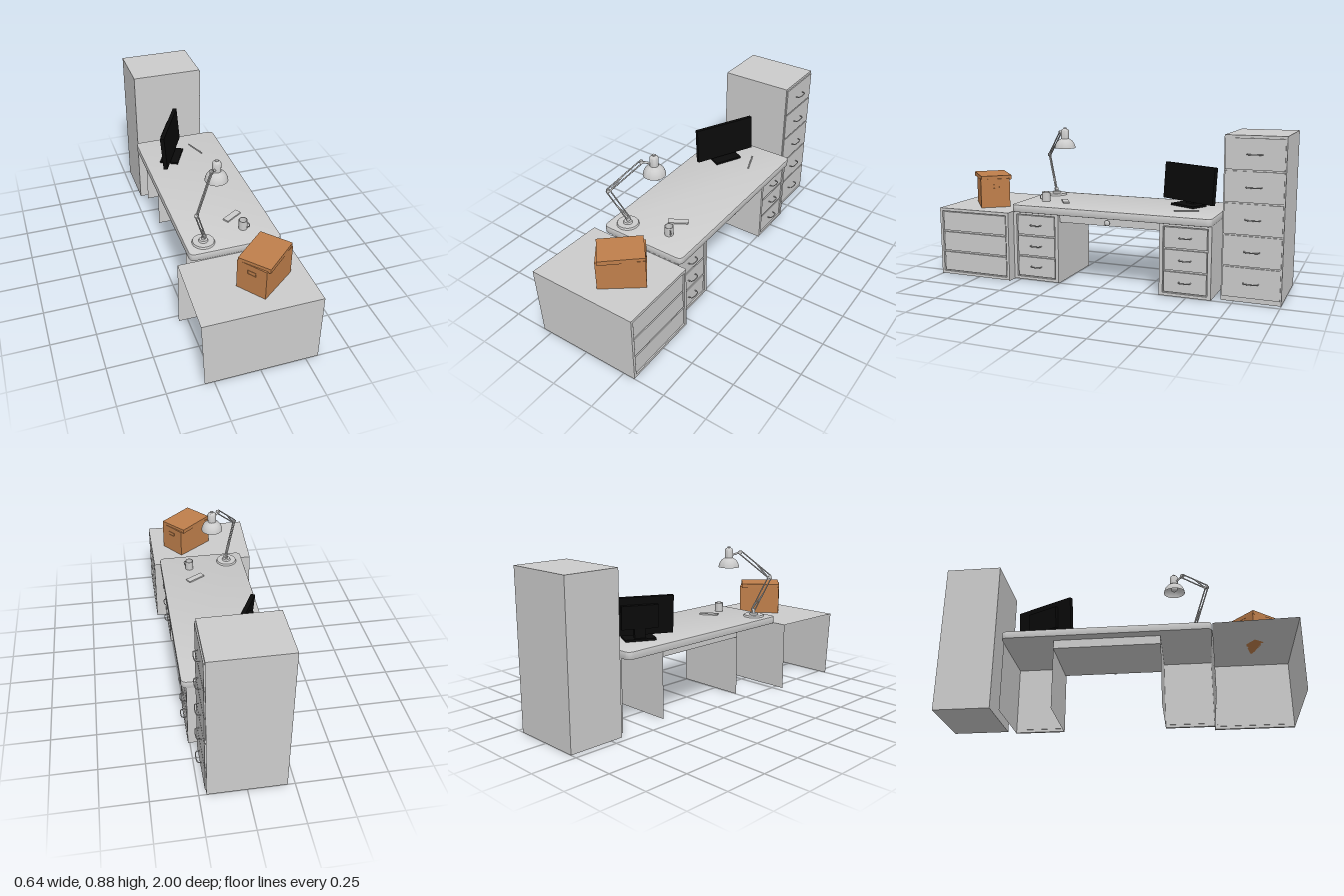
import * as THREE from 'three';
import { toCreasedNormals } from 'three/addons/utils/BufferGeometryUtils.js';

const mat = (name, color, side = THREE.FrontSide) => {
  const m = new THREE.MeshStandardMaterial({ color, side });
  m.name = name;
  return m;
};
const V = (x, y, z) => new THREE.Vector3(x, y, z);

export function createModel() {
  const model = new THREE.Group();
  const grey = mat('light grey', 0xcccccc, THREE.DoubleSide);
  const black = mat('black', 0x0a0a0a);
  const cardboard = mat('cardboard', 0xbf7f4b);

  const group = (name, parent = model) => {
    const g = new THREE.Group();
    g.name = name;
    parent.add(g);
    return g;
  };
  const add = (parent, name, geometry, material = grey) => {
    const m = new THREE.Mesh(geometry, material);
    m.name = name;
    parent.add(m);
    return m;
  };
  // Box given by its extents on each axis
  const box = (parent, name, x0, x1, y0, y1, z0, z1, material) => {
    const m = add(parent, name, new THREE.BoxGeometry(x1 - x0, y1 - y0, z1 - z0), material);
    m.position.set((x0 + x1) / 2, (y0 + y1) / 2, (z0 + z1) / 2);
    return m;
  };
  // Single sheet through four corners
  const sheet = (parent, name, ...corners) => {
    const g = new THREE.BufferGeometry().setFromPoints(corners);
    g.setIndex([0, 1, 2, 0, 2, 3]);
    g.computeVertexNormals();
    return add(parent, name, g);
  };
  // Straight round bar between two points
  const rod = (parent, name, a, b, r, sides = 10) => {
    const m = add(parent, name, new THREE.CylinderGeometry(r, r, a.distanceTo(b), sides));
    m.position.copy(a).add(b).multiplyScalar(0.5);
    m.quaternion.setFromUnitVectors(V(0, 1, 0), b.clone().sub(a).normalize());
    return m;
  };
  const disc = (parent, name, x, y, z, rTop, rBottom, h) => {
    const m = add(parent, name, new THREE.CylinderGeometry(rTop, rBottom, h, 32));
    m.position.set(x, y + h / 2, z);
    return m;
  };
  // Bow handle standing out towards +x
  const handle = (parent, x, y, z, w) => {
    const curve = new THREE.CatmullRomCurve3([
      V(0, 0, -w / 2), V(0.02, 0, -w / 2 + 0.004), V(0.025, 0, -w / 4),
      V(0.025, 0, w / 4), V(0.02, 0, w / 2 - 0.004), V(0, 0, w / 2)]);
    add(parent, 'drawerHandle', new THREE.TubeGeometry(curve, 20, 0.003, 6)).position.set(x, y, z);
  };

  // Drawer unit with open back and underside; backs = rear x at [z0 bottom, z0 top, z1 bottom, z1 top]
  const drawerUnit = (name, front, z0, z1, top, backs, border, handleWidth) => {
    const g = group(name);
    const [a, b, c, d] = backs;
    sheet(g, 'sidePanel', V(front, 0, z0), V(a, 0, z0), V(b, top, z0), V(front, top, z0));
    sheet(g, 'sidePanel', V(front, 0, z1), V(front, top, z1), V(d, top, z1), V(c, 0, z1));
    sheet(g, 'topPanel', V(front, top, z0), V(b, top, z0), V(d, top, z1), V(front, top, z1));
    const frame = new THREE.Shape([[z0, 0.004], [z1, 0.004], [z1, top], [z0, top]]
      .map(([z, y]) => new THREE.Vector2(-z, y)));
    const lo = 0.02, hi = top - 0.017, za = z0 + border, zb = z1 - border;
    frame.holes.push(new THREE.Path([[za, lo], [zb, lo], [zb, hi], [za, hi]]
      .map(([z, y]) => new THREE.Vector2(-z, y))));
    const geo = new THREE.ExtrudeGeometry(frame, { depth: 0.016, bevelEnabled: false });
    geo.rotateY(Math.PI / 2);
    add(g, 'frontFrame', geo).position.x = front - 0.016;
    box(g, 'frontBacking', front - 0.02, front - 0.016, lo, hi, za, zb);
    const step = (hi - lo) / 3;
    for (let i = 0; i < 3; i++) {
      const y = lo + i * step;
      box(g, 'drawerFront', front - 0.018, front - 0.005, y + 0.005, y + step - 0.005, za + 0.006, zb - 0.006);
      if (handleWidth) handle(g, front - 0.005, y + step / 2 + 0.003, (z0 + z1) / 2, handleWidth);
    }
  };
  drawerUnit('lowCabinet', 0.32, 0.54, 1.0, 0.402, [-0.3, -0.3, -0.3, -0.32], 0.016, 0);
  const rear = [-0.17, -0.17, -0.17, -0.17];
  drawerUnit('frontPedestal', 0.26, 0.253, 0.538, 0.405, rear, 0.02, 0.065);
  drawerUnit('rearPedestal', 0.26, -0.638, -0.35, 0.405, rear, 0.02, 0.065);

  // Tall filing cabinet
  const tall = group('tallCabinet');
  box(tall, 'cabinetBody', -0.21, 0.21, 0, 0.88, -1, -0.68);
  for (let i = 0; i < 5; i++) {
    const y = 0.107 + i * 0.1695;
    box(tall, 'drawerFront', 0.21, 0.217, y - 0.081, y + 0.081, -0.993, -0.687);
    handle(tall, 0.216, y, -0.84, 0.08);
  }

  // Desk top with rounded corners, and the shallow centre drawer
  const desk = group('desk');
  const x0 = -0.227, x1 = 0.282, z0 = -0.637, z1 = 0.535, r = 0.03;
  const s = new THREE.Shape();
  s.moveTo(x0 + r, z0);
  s.lineTo(x1 - r, z0);
  s.quadraticCurveTo(x1, z0, x1, z0 + r);
  s.lineTo(x1, z1 - r);
  s.quadraticCurveTo(x1, z1, x1 - r, z1);
  s.lineTo(x0 + r, z1);
  s.quadraticCurveTo(x0, z1, x0, z1 - r);
  s.lineTo(x0, z0 + r);
  s.quadraticCurveTo(x0, z0, x0 + r, z0);
  const slab = new THREE.ExtrudeGeometry(s, {
    depth: 0.036, bevelThickness: 0.003, bevelSize: 0.003, bevelSegments: 2, curveSegments: 8 });
  slab.rotateX(Math.PI / 2);
  add(desk, 'deskTop', toCreasedNormals(slab, 0.6)).position.y = 0.443;
  box(desk, 'centreDrawer', -0.17, 0.235, 0.355, 0.405, -0.35, 0.253);
  rod(desk, 'knobStem', V(0.235, 0.375, -0.045), V(0.25, 0.375, -0.045), 0.007, 16);
  const knob = add(desk, 'knob', new THREE.SphereGeometry(0.016, 20, 12));
  knob.scale.x = 0.5;
  knob.position.set(0.253, 0.375, -0.045);

  // Monitor, turned towards the seat
  const monitor = group('monitor');
  monitor.position.set(-0.055, 0.446, -0.42);
  monitor.rotation.y = -0.48;
  box(monitor, 'standBase', -0.055, 0.055, 0, 0.012, -0.085, 0.085, black);
  box(monitor, 'standNeck', -0.035, -0.01, 0.01, 0.1, -0.03, 0.03, black);
  const panel = group('screenPanel', monitor);
  panel.position.y = 0.025;
  panel.rotation.z = 0.08;
  box(panel, 'screen', -0.01, 0.014, 0, 0.21, -0.19, 0.19, black);
  box(panel, 'rearHousing', -0.032, -0.01, 0.04, 0.17, -0.1, 0.1, black);

  // Jointed lamp
  const lamp = group('lamp');
  disc(lamp, 'lampBase', -0.13, 0.446, 0.45, 0.058, 0.062, 0.011);
  disc(lamp, 'lampBaseHub', -0.13, 0.457, 0.45, 0.022, 0.026, 0.01);
  disc(lamp, 'lampPost', -0.13, 0.465, 0.45, 0.009, 0.009, 0.02);
  const foot = V(-0.125, 0.482, 0.45), elbow = V(-0.19, 0.685, 0.525), wrist = V(-0.066, 0.838, 0.388);
  const across = V(0.73, 0, 0.68);
  const arm = (a, b, name) => {
    const off = b.clone().sub(a).normalize().cross(across).multiplyScalar(0.01);
    for (const k of [-1, 1])
      rod(lamp, name, a.clone().addScaledVector(off, k), b.clone().addScaledVector(off, k), 0.0038);
    for (const t of [0.03, 0.97]) {
      const p = a.clone().lerp(b, t);
      rod(lamp, 'armBracket', p.clone().addScaledVector(off, -1.2), p.clone().addScaledVector(off, 1.2), 0.005);
    }
    rod(lamp, 'armSpring', a.clone().addScaledVector(off, 1), a.clone().lerp(b, 0.5).addScaledVector(off, -1), 0.004);
  };
  arm(foot, elbow, 'lowerArm');
  arm(elbow, wrist, 'upperArm');
  for (const p of [foot, elbow, wrist])
    rod(lamp, 'armJoint', p.clone().addScaledVector(across, -0.009), p.clone().addScaledVector(across, 0.009), 0.01, 16);
  rod(lamp, 'headLink', wrist, V(-0.022, 0.815, 0.337), 0.006);
  const shade = [[0.062, 0], [0.06, 0.012], [0.053, 0.03], [0.042, 0.044], [0.027, 0.053], [0.024, 0.056],
    [0.024, 0.102], [0.02, 0.11], [0.012, 0.114], [0.009, 0.116], [0.009, 0.121], [0, 0.122]];
  const shadeGeo = toCreasedNormals(new THREE.LatheGeometry(shade.map(p => new THREE.Vector2(...p)), 40), 0.7);
  add(lamp, 'lampShade', shadeGeo).position.set(-0.022, 0.75, 0.337);
  add(lamp, 'bulb', new THREE.SphereGeometry(0.02, 20, 14)).position.set(-0.022, 0.778, 0.337);

  // Mug, notepad and pen
  const mug = group('mug');
  mug.position.set(0.112, 0.446, 0.4);
  const cup = [[0, 0.001], [0.024, 0.001], [0.024, 0.056], [0.021, 0.056], [0.021, 0.005], [0, 0.005]];
  add(mug, 'mugBody', toCreasedNormals(
    new THREE.LatheGeometry(cup.map(p => new THREE.Vector2(...p)), 28), 0.6));
  const ear = add(mug, 'mugHandle', new THREE.TorusGeometry(0.014, 0.003, 8, 16, Math.PI));
  ear.rotation.set(0, -0.7, -Math.PI / 2, 'YXZ');
  ear.position.set(0.018, 0.029, 0.015);
  const pad = box(model, 'notepad', 0.034, 0.146, 0.445, 0.454, 0.267, 0.303);
  pad.rotation.y = 0.55;
  rod(model, 'pen', V(0.088, 0.45, -0.52), V(0.134, 0.45, -0.393), 0.004);

  // Cardboard box with a slightly turned lid
  const carton = group('cardboardBox');
  carton.position.set(0.087, 0.402, 0.772);
  const body = group('cartonBody', carton);
  body.rotation.y = 0.645;
  box(body, 'cartonWalls', -0.125, 0.125, 0, 0.17, -0.085, 0.085, cardboard);
  for (const k of [-1, 1]) {
    // Raised rim around each hand hole
    const x = k * 0.126;
    for (const y of [0.113, 0.134]) box(body, 'handHoleRim', x - 0.001, x + 0.001, y, y + 0.002, -0.024, 0.024, cardboard);
    for (const z of [-0.024, 0.022]) box(body, 'handHoleRim', x - 0.001, x + 0.001, 0.113, 0.136, z, z + 0.002, cardboard);
  }
  const lid = box(carton, 'cartonLid', -0.12, 0.12, 0.163, 0.188, -0.09, 0.09, cardboard);
  lid.rotation.y = 0.72;
  return model;
}
